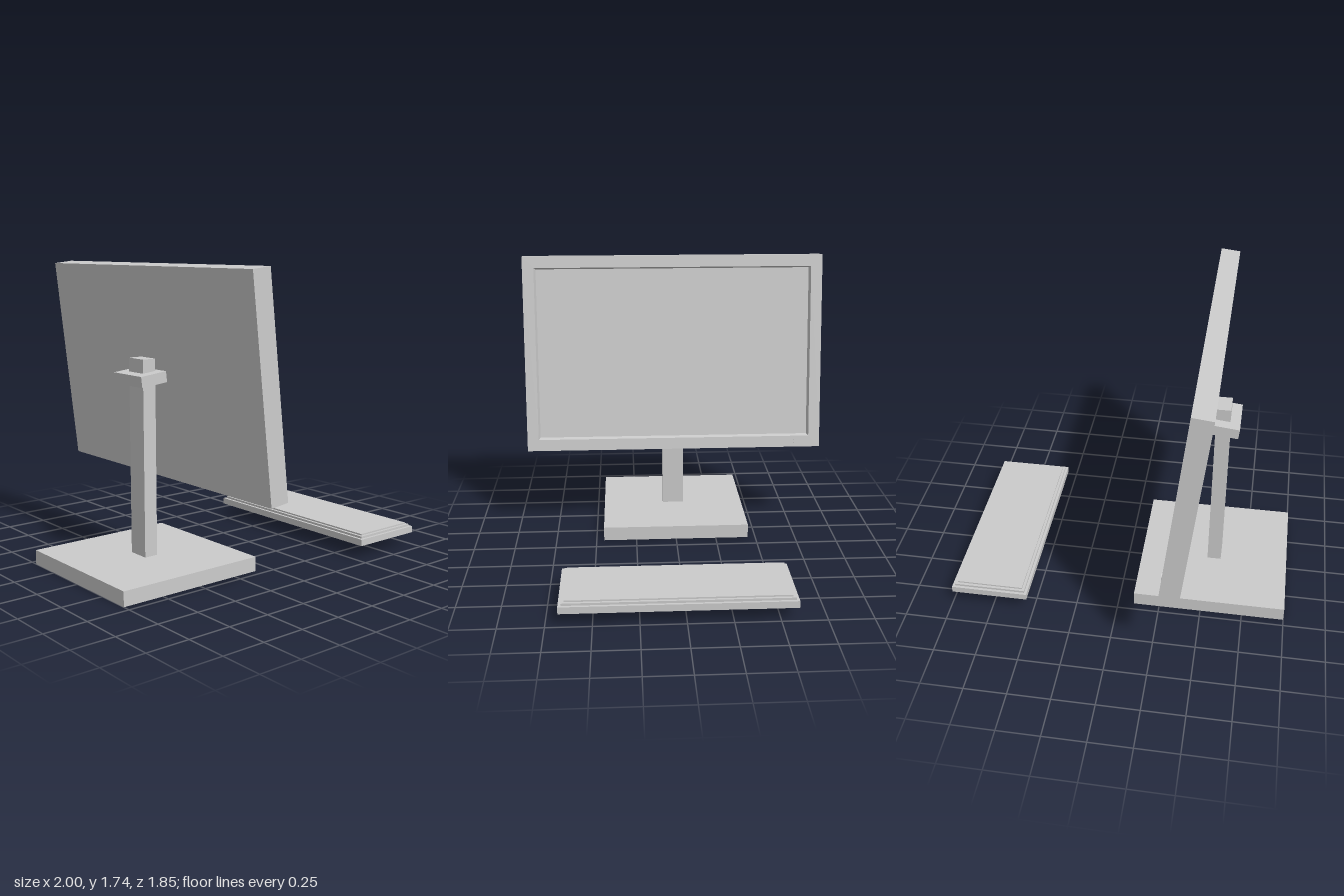
import * as THREE from 'three';

const material = new THREE.MeshStandardMaterial({ color: 0xcccccc, flatShading: true });

// Box given by its min and max corners
function box(name, [x0, y0, z0], [x1, y1, z1]) {
  const geometry = new THREE.BoxGeometry(x1 - x0, y1 - y0, z1 - z0);
  const mesh = new THREE.Mesh(geometry, material);
  mesh.position.set((x0 + x1) / 2, (y0 + y1) / 2, (z0 + z1) / 2);
  mesh.name = name;
  return mesh;
}

// Skin over a run of rectangles [x, halfHeight, halfWidth] across x, capped at both ends
function rectLoft(rings) {
  const corners = rings.map(([x, h, w]) => [[x, -h, w], [x, -h, -w], [x, h, -w], [x, h, w]]);
  const points = [];
  const quad = (a, b, c, d) => points.push(...a, ...b, ...c, ...a, ...c, ...d);
  for (let i = 0; i < corners.length - 1; i++) {
    for (let k = 0; k < 4; k++) {
      const n = (k + 1) % 4;
      quad(corners[i][k], corners[i][n], corners[i + 1][n], corners[i + 1][k]);
    }
  }
  const [b0, b1, b2, b3] = corners[0];
  quad(b3, b2, b1, b0);
  quad(...corners[corners.length - 1]);
  const geometry = new THREE.BufferGeometry();
  geometry.setAttribute('position', new THREE.Float32BufferAttribute(points, 3));
  geometry.computeVertexNormals();
  return geometry;
}

export function createModel() {
  const model = new THREE.Group();
  model.name = 'desktopMonitorAndKeyboard';

  // Stand
  const stand = new THREE.Group();
  stand.name = 'stand';
  stand.add(
    box('base', [-1, 0, -0.453], [-0.095, 0.085, 0.453]),
    box('column', [-0.59, 0.085, -0.067], [-0.507, 1.215, 0.067])
  );
  model.add(stand);

  // Tilted display, screen facing +x
  const display = new THREE.Group();
  display.name = 'display';
  display.position.set(-0.42, 1.128, 0);
  display.rotation.z = THREE.MathUtils.degToRad(6.4);
  const halfDepth = 0.058, halfHeight = 0.607, halfWidth = 0.925;

  // Casing: back, bezel, sloped recess wall, then the sunken screen
  const casing = new THREE.Mesh(rectLoft([
    [-halfDepth, halfHeight, halfWidth],
    [halfDepth, halfHeight, halfWidth],
    [halfDepth, halfHeight - 0.071, halfWidth - 0.07],
    [halfDepth - 0.032, halfHeight - 0.08, halfWidth - 0.08],
  ]), material);
  casing.name = 'casingAndScreen';

  // Round power button on the bezel
  const button = new THREE.Mesh(new THREE.CylinderGeometry(0.02, 0.02, 0.012, 24), material);
  button.name = 'powerButton';
  button.rotation.z = -Math.PI / 2;
  button.position.set(halfDepth - 0.002, -0.57, -0.777);

  display.add(
    casing,
    button,
    box('mountBracket', [-0.227, -0.034, -0.132], [-halfDepth, 0.028, 0.132])
  );
  model.add(display);

  // Keyboard slab in three stepped layers
  const keyboard = new THREE.Group();
  keyboard.name = 'keyboard';
  const heights = [0.076, 0.115, 0.128, 0.137];
  ['keyboardBase', 'keyboardStep', 'keyboardTop'].forEach((name, i) => {
    const inset = 0.016 * i;
    keyboard.add(box(name,
      [0.54 + inset, heights[i], -0.595 + inset],
      [1 - inset, heights[i + 1], 0.68 - inset]));
  });
  model.add(keyboard);

  return model;
}
